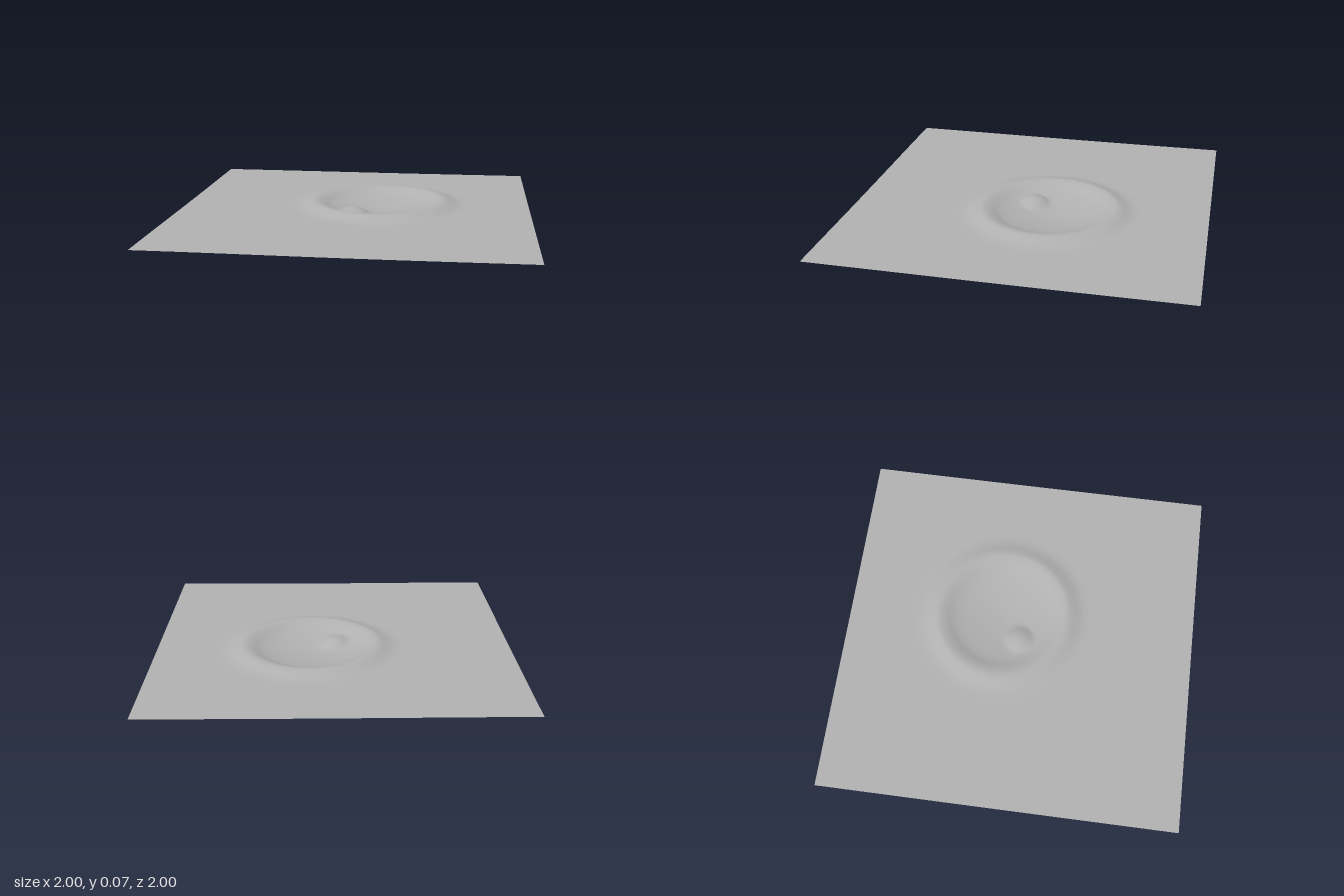
import * as THREE from 'three';

const CENTRE = { x: 0.13, z: -0.11 };
const PLAIN = 0.045;

// Crater cross-section: distance from its centre, height
const profile = new THREE.SplineCurve([
  [0, 0.003], [0.1, 0.01], [0.2, 0.024], [0.28, 0.042], [0.33, 0.064], [0.37, 0.0755],
  [0.395, 0.0735], [0.43, 0.061], [0.47, 0.049], [0.52, PLAIN],
].map(([r, y]) => new THREE.Vector2(r, y))).getPoints(180);

function craterHeight(r) {
  const i = profile.findIndex((p) => p.x > r);
  if (i < 1) return i === 0 ? profile[0].y : PLAIN;
  const a = profile[i - 1], b = profile[i];
  return THREE.MathUtils.mapLinear(r, a.x, b.x, a.y, b.y);
}

function groundHeight(x, z) {
  const r = Math.hypot(x - CENTRE.x, z - CENTRE.z);
  let y = craterHeight(r);
  // Faint swell of the plain outside the crater
  const fade = THREE.MathUtils.smoothstep(r, 0.45, 0.7);
  y += 0.0015 * fade * Math.sin(3 * x + 1) * Math.cos(2.5 * z + 0.5);
  // Small domed mound on the crater floor
  const d = Math.hypot(x, z) / 0.085;
  if (d < 1) y += 0.03 * (1 - d * d);
  return y;
}

export function createModel() {
  const group = new THREE.Group();
  group.name = 'craterTerrain';

  const grey = new THREE.MeshStandardMaterial({ color: 0xb0b0b0, side: THREE.DoubleSide });
  grey.name = 'grey ground';

  // Ground sheet shaped by the height rule
  const geometry = new THREE.PlaneGeometry(2, 2, 100, 100).rotateX(-Math.PI / 2);
  const pos = geometry.attributes.position;
  for (let i = 0; i < pos.count; i++) {
    pos.setY(i, groundHeight(pos.getX(i), pos.getZ(i)));
  }
  geometry.computeVertexNormals();
  geometry.computeBoundingBox();
  geometry.translate(0, -geometry.boundingBox.min.y, 0);

  const ground = new THREE.Mesh(geometry, grey);
  ground.name = 'ground';
  group.add(ground);
  return group;
}
